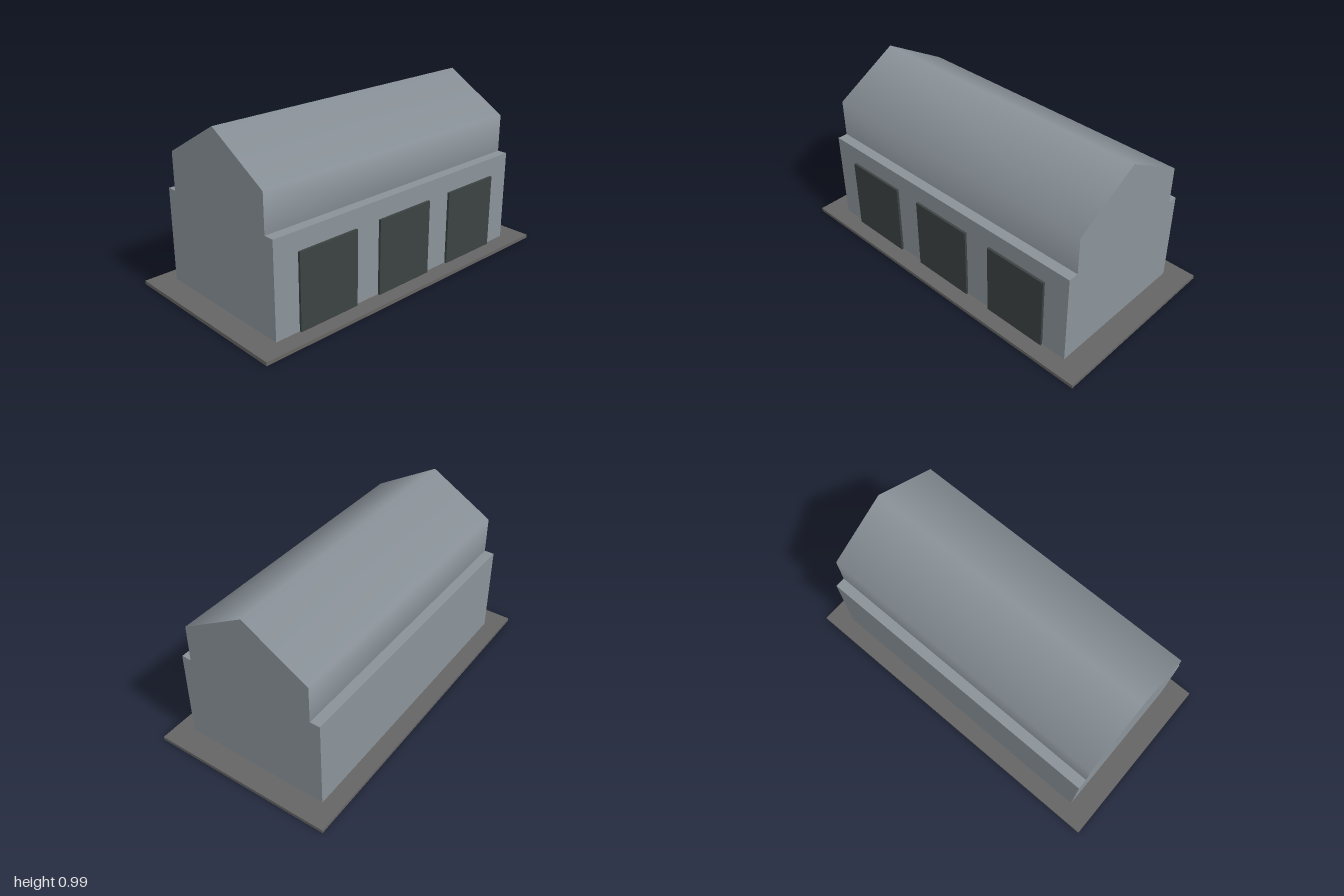
import * as THREE from 'three';

function material(name, color) {
  const m = new THREE.MeshStandardMaterial({ color });
  m.name = name;
  return m;
}

export function createModel() {
  const group = new THREE.Group();
  group.name = 'depot';

  const cladding = material('greyCladding', 0x8a9299);
  const concrete = material('darkConcrete', 0x666564);
  const shutter = material('charcoalShutter', 0x3c4242);

  const add = (name, geometry, mat, x, y, z) => {
    const mesh = new THREE.Mesh(geometry, mat);
    mesh.name = name;
    mesh.position.set(x, y, z);
    group.add(mesh);
    return mesh;
  };
  const box = (name, w, h, d, mat, x, bottom, z) =>
    add(name, new THREE.BoxGeometry(w, h, d), mat, x, bottom + h / 2, z);

  const slabTop = 0.02;
  const length = 1.73;
  const depth = 0.866;
  const wallHeight = 0.533;

  // Ground slab and main hall
  box('groundSlab', 2, slabTop, 1.066, concrete, 0, 0, 0);
  box('hallWalls', length, wallHeight, depth, cladding, 0, slabTop, 0);

  // Six-sided, smooth-shaded roof barrel lying along x, ridge upward
  const barrel = new THREE.CylinderGeometry(depth / 2, depth / 2, length, 6, 1, false, Math.PI / 2);
  barrel.rotateZ(Math.PI / 2);
  add('roof', barrel, cladding, 0, slabTop + wallHeight, 0);

  // Three bay doors standing slightly proud of the front wall
  ['rightDoor', 'middleDoor', 'leftDoor'].forEach((name, i) => {
    box(name, 0.373, 0.427, 0.027, shutter, (i - 1) * 0.533, slabTop, depth / 2);
  });

  return group;
}
